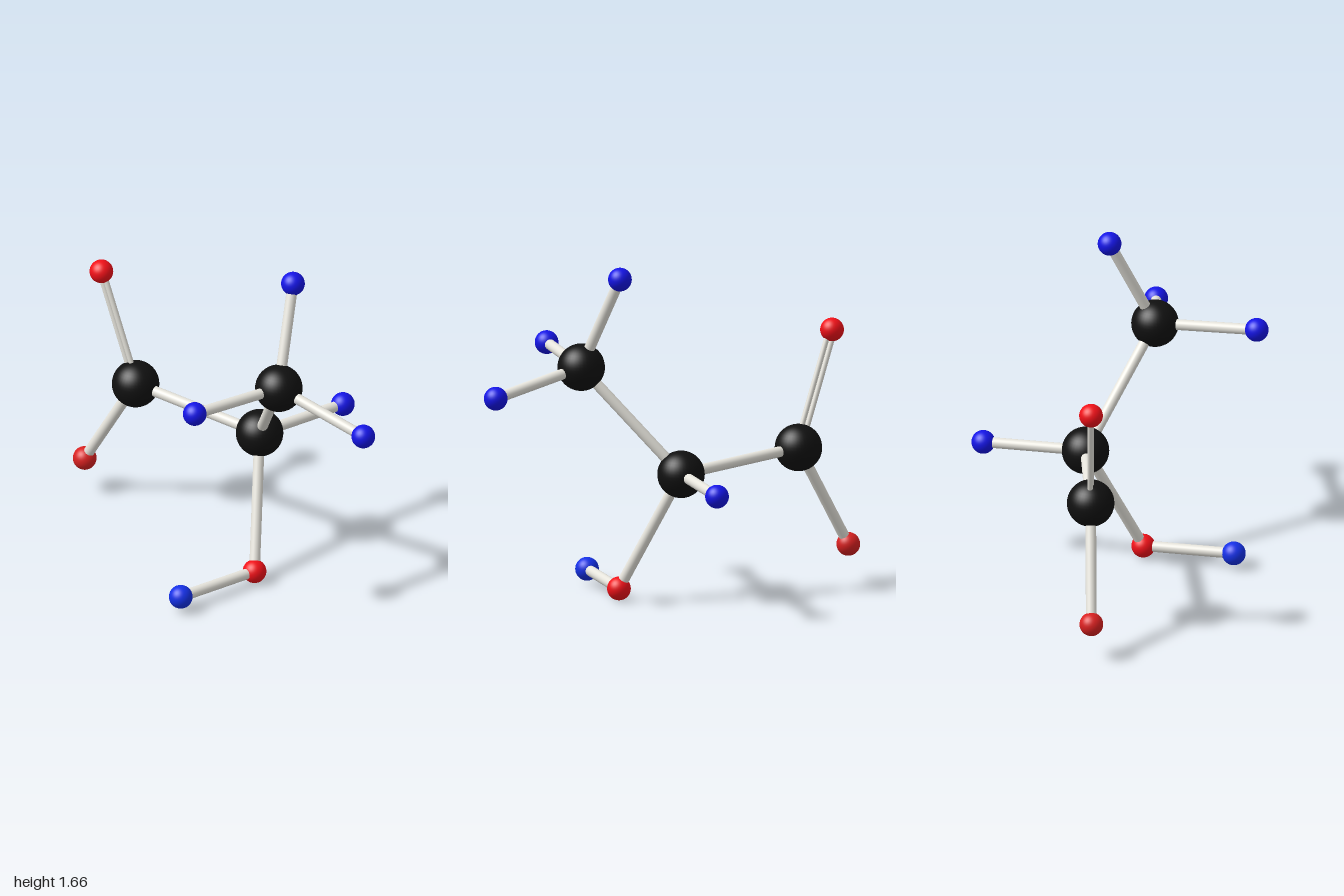
import * as THREE from 'three';

const mat = (color) => new THREE.MeshStandardMaterial({ color });

export function createModel() {
  const model = new THREE.Group();
  const black = mat(0x101010), red = mat(0xf01018), darkRed = mat(0xd82020);
  const blue = mat(0x1414e6), lightBlue = mat(0x1430e6), white = mat(0xe6e4dc);

  // Atoms: centre, radius, material
  const atoms = {
    acidCarbon: [[-0.654, 0.69, 0.03], 0.114, black],
    middleCarbon: [[0.04, 0.64, -0.13], 0.114, black],
    methylCarbon: [[0.447, 1.15, 0.13], 0.114, black],
    doubleOxygen: [[-0.85, 1.243, 0.07], 0.057, red],
    singleOxygen: [[-0.945, 0.187, 0.09], 0.057, darkRed],
    hydroxylOxygen: [[0.257, 0.06, 0.11], 0.057, red],
    hydroxylHydrogen: [[0.217, 0.077, 0.56], 0.057, lightBlue],
    middleHydrogen: [[0.085, 0.62, -0.638], 0.057, blue],
    methylHydrogenTop: [[0.335, 1.602, -0.07], 0.057, blue],
    methylHydrogenSide: [[0.94, 1.05, 0.04], 0.057, blue],
    methylHydrogenFront: [[0.395, 1.183, 0.637], 0.057, blue],
  };
  for (const [name, [centre, radius, material]] of Object.entries(atoms)) {
    const ball = new THREE.Mesh(new THREE.SphereGeometry(radius, 40, 24), material);
    ball.name = name;
    ball.position.set(...centre);
    model.add(ball);
  }

  // A straight rod between two atoms, optionally shifted sideways
  const up = new THREE.Vector3(0, 1, 0);
  function addBond(from, to, radius = 0.026, shift = 0) {
    const a = new THREE.Vector3(...atoms[from][0]);
    const b = new THREE.Vector3(...atoms[to][0]);
    const dir = b.clone().sub(a);
    const rod = new THREE.Mesh(new THREE.CylinderGeometry(radius, radius, dir.length(), 24), white);
    rod.name = `bond ${from} to ${to}`;
    const side = dir.normalize().clone().cross(new THREE.Vector3(0, 0, 1)).normalize();
    rod.position.copy(a).add(b).multiplyScalar(0.5).addScaledVector(side, shift);
    rod.quaternion.setFromUnitVectors(up, dir);
    model.add(rod);
  }

  // Single bonds
  [
    ['acidCarbon', 'middleCarbon'],
    ['middleCarbon', 'methylCarbon'],
    ['acidCarbon', 'singleOxygen'],
    ['middleCarbon', 'hydroxylOxygen'],
    ['middleCarbon', 'middleHydrogen'],
    ['hydroxylOxygen', 'hydroxylHydrogen'],
    ['methylCarbon', 'methylHydrogenTop'],
    ['methylCarbon', 'methylHydrogenSide'],
    ['methylCarbon', 'methylHydrogenFront'],
  ].forEach(([from, to]) => addBond(from, to));

  // Double bond: a pair of thin rods
  for (const s of [-1, 1]) addBond('acidCarbon', 'doubleOxygen', 0.013, s * 0.0145);

  return model;
}
